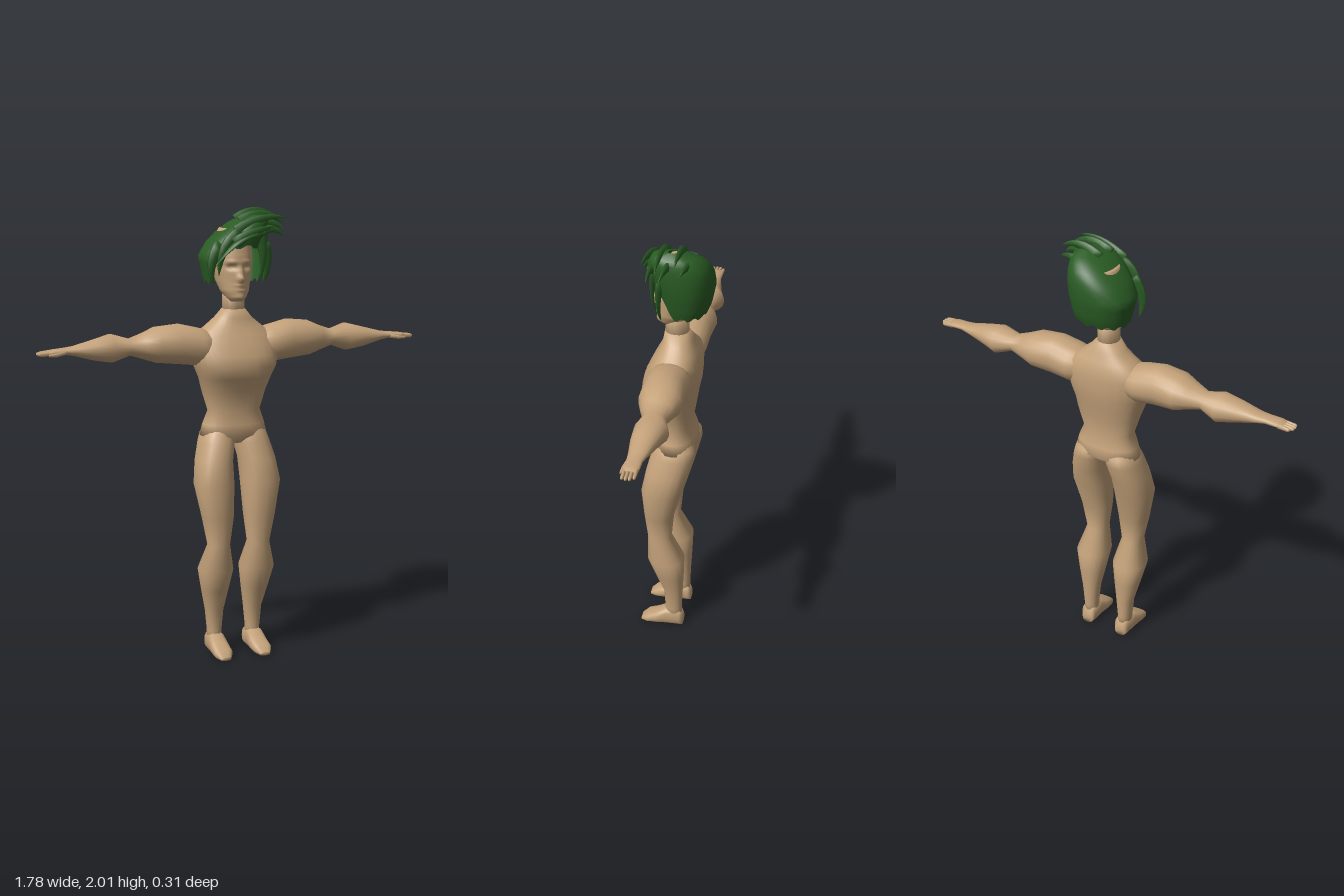
import * as THREE from 'three';

const skin = new THREE.MeshStandardMaterial({ color: 0xc4a27a });
skin.name = 'skin';
const hairGreen = new THREE.MeshStandardMaterial({ color: 0x2a5c24, side: THREE.DoubleSide });
hairGreen.name = 'hair green';

// Joins rings of points (counter-clockwise about the direction of travel) into a closed skin
function skinRings(rings, cap = true) {
  const n = rings[0].length, pos = [], idx = [];
  rings.forEach(r => r.forEach(p => pos.push(p.x, p.y, p.z)));
  for (let i = 0; i < rings.length - 1; i++) {
    for (let j = 0; j < n; j++) {
      const a = i * n + j, b = i * n + (j + 1) % n;
      idx.push(a, b, a + n, b, b + n, a + n);
    }
  }
  if (cap) {
    [0, rings.length - 1].forEach((ri, end) => {
      const c = new THREE.Vector3();
      rings[ri].forEach(p => c.addScaledVector(p, 1 / n));
      const ci = pos.length / 3;
      pos.push(c.x, c.y, c.z);
      for (let j = 0; j < n; j++) {
        const a = ri * n + j, b = ri * n + (j + 1) % n;
        end ? idx.push(a, b, ci) : idx.push(b, a, ci);
      }
    });
  }
  const g = new THREE.BufferGeometry();
  g.setAttribute('position', new THREE.Float32BufferAttribute(pos, 3));
  g.setIndex(idx);
  g.computeVertexNormals();
  return g;
}

// Rows are [t, uMin, uMax, vMin, vMax]; u,v,t map to z,x,y / y,z,x / x,y,z
const axes = {
  y: (u, v, t) => new THREE.Vector3(v, t, u),
  x: (u, v, t) => new THREE.Vector3(t, u, v),
  z: (u, v, t) => new THREE.Vector3(u, v, t),
};
const bend = (c, p) => Math.sign(c) * Math.abs(c) ** p;

function loft(rows, axis, segs = 20, power = 0.9, cap = true) {
  return skinRings(rows.map(([t, u0, u1, v0, v1]) => Array.from({ length: segs }, (_, j) => {
    const a = j / segs * Math.PI * 2;
    return axes[axis]((u0 + u1) / 2 + (u1 - u0) / 2 * bend(Math.cos(a), power),
      (v0 + v1) / 2 + (v1 - v0) / 2 * bend(Math.sin(a), power), t);
  })), cap);
}

// Linear lookup in a table of rows sorted by the first value
function sample(rows, t) {
  let i = 0;
  while (i < rows.length - 2 && t > rows[i + 1][0]) i++;
  const f = THREE.MathUtils.clamp((t - rows[i][0]) / (rows[i + 1][0] - rows[i][0]), 0, 1);
  return rows[i].map((v, k) => v + (rows[i + 1][k] - v) * f);
}

function mirrored(geo) {
  const g = geo.clone().scale(-1, 1, 1), ix = g.index.array;
  for (let i = 0; i < ix.length; i += 3) [ix[i], ix[i + 1]] = [ix[i + 1], ix[i]];
  g.computeVertexNormals();
  return g;
}

// Head with face modelled by soft bumps
function headGeometry() {
  const rows = [
    [1.605, -0.01, 0.07, -0.03, 0.03], [1.62, -0.03, 0.088, -0.042, 0.042],
    [1.65, -0.06, 0.09, -0.06, 0.06], [1.69, -0.095, 0.088, -0.071, 0.071],
    [1.74, -0.12, 0.088, -0.081, 0.081], [1.80, -0.135, 0.09, -0.086, 0.086],
    [1.86, -0.13, 0.08, -0.083, 0.083], [1.92, -0.09, 0.045, -0.05, 0.05],
  ];
  const dense = Array.from({ length: 43 }, (_, i) => sample(rows, 1.605 + i * 0.0075));
  const g = loft(dense, 'y', 64, 0.9), p = g.attributes.position;
  const bump = (x, y, cx, cy, sx, sy) => Math.exp(-(((x - cx) / sx) ** 2) - ((y - cy) / sy) ** 2);
  for (let i = 0; i < p.count; i++) {
    const x = Math.abs(p.getX(i)), y = p.getY(i), z = p.getZ(i);
    if (z < 0.02) continue;
    p.setZ(i, z + 0.026 * bump(x, y, 0, 1.705, 0.014, 0.016) + 0.014 * bump(x, y, 0, 1.735, 0.011, 0.025)
      - 0.016 * bump(x, y, 0.035, 1.755, 0.02, 0.011) + 0.007 * bump(x, y, 0.035, 1.778, 0.03, 0.009)
      + 0.008 * bump(x, y, 0, 1.674, 0.02, 0.006) + 0.006 * bump(x, y, 0, 1.657, 0.018, 0.006)
      - 0.004 * bump(x, y, 0, 1.666, 0.022, 0.003) + 0.005 * bump(x, y, 0, 1.625, 0.02, 0.012));
  }
  g.computeVertexNormals();
  return g;
}

// Hair cap: columns run from a jagged rim to the swept crown
function hairCapGeometry() {
  const rows = [
    [1.66, -0.12, 0.05, -0.11, 0.115], [1.72, -0.145, 0.07, -0.125, 0.135],
    [1.80, -0.16, 0.09, -0.142, 0.152], [1.86, -0.158, 0.105, -0.105, 0.158],
    [1.91, -0.145, 0.115, -0.055, 0.158], [1.95, -0.11, 0.105, 0.0, 0.152],
    [1.975, -0.07, 0.075, 0.05, 0.14], [1.985, -0.02, 0.02, 0.08, 0.11],
  ];
  const n = 48, steps = 14, rings = [];
  for (let i = 0; i <= steps; i++) {
    rings.push(Array.from({ length: n }, (_, j) => {
      const a = j / n * Math.PI * 2;
      const front = THREE.MathUtils.smoothstep(Math.cos(a), 0.3, 0.8);
      const rim = 1.685 + 0.155 * front + (j % 4 < 2 ? 0.008 : -0.006);
      const [y, z0, z1, x0, x1] = sample(rows, rim + (1.985 - rim) * i / steps);
      return new THREE.Vector3((x0 + x1) / 2 + (x1 - x0) / 2 * bend(Math.sin(a), 0.9), y,
        (z0 + z1) / 2 + (z1 - z0) / 2 * bend(Math.cos(a), 0.9));
    }));
  }
  const g = skinRings(rings, false);
  return g;
}

// A tapering lock of hair along a bent path
function lockGeometry(a, b, c, width) {
  const curve = new THREE.QuadraticBezierCurve3(...[a, b, c].map(p => new THREE.Vector3(...p)));
  const steps = 7, frames = curve.computeFrenetFrames(steps);
  return skinRings(Array.from({ length: steps + 1 }, (_, i) => {
    const t = i / steps, w = width * Math.max(0.02, (1 - t) ** 0.7);
    return Array.from({ length: 6 }, (_, j) => {
      const q = j / 6 * Math.PI * 2;
      return curve.getPointAt(t).addScaledVector(frames.normals[i], Math.cos(q) * w * 0.5)
        .addScaledVector(frames.binormals[i], Math.sin(q) * w);
    });
  }));
}

export function createModel() {
  const model = new THREE.Group();
  const add = (name, geo, mat = skin) => {
    const m = new THREE.Mesh(geo, mat);
    m.name = name;
    model.add(m);
  };
  const pair = (name, geo) => {
    add('left' + name, geo);
    add('right' + name, mirrored(geo));
  };

  // Torso and neck
  add('torso', loft([
    [0.975, -0.06, 0.06, -0.07, 0.07], [1.01, -0.092, 0.092, -0.155, 0.155],
    [1.06, -0.085, 0.088, -0.142, 0.142], [1.12, -0.066, 0.08, -0.12, 0.12],
    [1.21, -0.08, 0.095, -0.148, 0.148], [1.27, -0.09, 0.13, -0.165, 0.165],
    [1.32, -0.1, 0.15, -0.187, 0.187], [1.37, -0.104, 0.138, -0.2, 0.2],
    [1.42, -0.104, 0.115, -0.2, 0.2], [1.46, -0.098, 0.095, -0.175, 0.175],
    [1.49, -0.085, 0.078, -0.135, 0.135], [1.53, -0.068, 0.062, -0.085, 0.085],
    [1.57, -0.05, 0.056, -0.05, 0.05],
  ], 'y', 28, 0.85));
  add('neck', loft([[1.56, -0.049, 0.056, -0.05, 0.05], [1.64, -0.048, 0.056, -0.048, 0.048]], 'y', 16, 1));
  add('head', headGeometry());

  // Arms
  pair('Arm', loft([
    [0.08, 1.34, 1.47, -0.075, 0.08], [0.17, 1.325, 1.492, -0.092, 0.1],
    [0.26, 1.335, 1.513, -0.092, 0.092], [0.36, 1.345, 1.503, -0.098, 0.088],
    [0.42, 1.365, 1.477, -0.078, 0.065], [0.48, 1.383, 1.456, -0.06, 0.04],
    [0.56, 1.355, 1.48, -0.09, 0.055], [0.64, 1.37, 1.46, -0.062, 0.05],
    [0.73, 1.395, 1.437, -0.042, 0.036], [0.77, 1.402, 1.432, -0.034, 0.032],
    [0.82, 1.402, 1.428, -0.034, 0.036], [0.845, 1.404, 1.424, -0.03, 0.03],
  ], 'x', 18, 0.95));
  // Fingers and thumbs
  [0.888, 0.892, 0.89, 0.878].forEach((tip, k) => {
    const z = 0.022 - k * 0.0155;
    pair('Finger' + (k + 1), loft([
      [0.825, 1.402, 1.424, z - 0.008, z + 0.008], [tip - 0.008, 1.401, 1.419, z - 0.007, z + 0.007],
      [tip, 1.406, 1.415, z - 0.003, z + 0.003]], 'x', 8));
  });
  pair('Thumb', loft([
    [0.77, 1.404, 1.424, 0.01, 0.034], [0.81, 1.398, 1.416, 0.024, 0.042],
    [0.845, 1.4, 1.411, 0.032, 0.041]], 'x', 8));

  // Legs and feet
  pair('Leg', loft([
    [0.05, -0.038, 0.04, 0.058, 0.128], [0.1, -0.038, 0.04, 0.062, 0.126],
    [0.2, -0.042, 0.045, 0.052, 0.136], [0.3, -0.047, 0.082, 0.036, 0.158],
    [0.4, -0.05, 0.12, 0.021, 0.178], [0.52, 0.01, 0.12, 0.046, 0.145],
    [0.65, -0.002, 0.133, 0.028, 0.172], [0.8, -0.045, 0.142, 0.022, 0.2],
    [0.9, -0.072, 0.122, 0.02, 0.185], [0.98, -0.092, 0.102, 0.004, 0.163],
    [1.02, -0.09, 0.085, 0.004, 0.15], [1.07, -0.05, 0.06, 0.02, 0.11],
  ], 'y', 20, 0.9));
  pair('Foot', loft([
    [-0.045, 0, 0.05, 0.065, 0.12], [-0.03, 0, 0.09, 0.056, 0.13], [0.035, 0, 0.095, 0.053, 0.135],
    [0.08, 0, 0.064, 0.05, 0.138], [0.125, 0, 0.045, 0.052, 0.138], [0.155, 0, 0.018, 0.07, 0.12],
  ].map(([t, y0, y1, x0, x1]) => [t, x0, x1, y0, y1]), 'z', 16, 0.75));

  // Hair cap, swept crown spikes, fringe and side locks
  add('hairCap', hairCapGeometry(), hairGreen);
  [
    [[-0.02, 1.91, 0.09], [0.1, 1.99, 0.1], [0.205, 1.965, 0.11], 0.03],
    [[0.02, 1.945, 0.04], [0.13, 2.015, 0.05], [0.215, 1.94, 0.05], 0.035],
    [[0.03, 1.95, -0.03], [0.12, 2.02, -0.03], [0.205, 1.97, -0.03], 0.035],
    [[0.06, 1.91, 0], [0.17, 1.975, 0.01], [0.23, 1.91, 0.03], 0.035],
    [[0.08, 1.89, 0.07], [0.16, 1.95, 0.09], [0.2, 1.88, 0.09], 0.03],
    [[0.08, 1.93, -0.07], [0.16, 1.96, -0.07], [0.2, 1.93, -0.05], 0.03],
    [[0.1, 1.9, 0.08], [-0.04, 1.89, 0.13], [-0.115, 1.76, 0.09], 0.035],
    [[0.0, 1.9, 0.09], [-0.1, 1.87, 0.1], [-0.1, 1.72, 0.085], 0.035],
    [[-0.08, 1.85, 0.06], [-0.15, 1.78, 0.07], [-0.115, 1.68, 0.06], 0.035],
    [[-0.03, 1.86, 0.1], [0.03, 1.91, 0.12], [0.15, 1.93, 0.11], 0.03],
    [[0.09, 1.9, 0.08], [0.12, 1.8, 0.095], [0.095, 1.7, 0.075], 0.03],
    [[0.12, 1.85, 0.05], [0.155, 1.76, 0.06], [0.12, 1.675, 0.045], 0.035],
  ].forEach(([a, b, c, w], i) => add('hairLock' + (i + 1), lockGeometry(a, b, c, w), hairGreen));

  return model;
}
